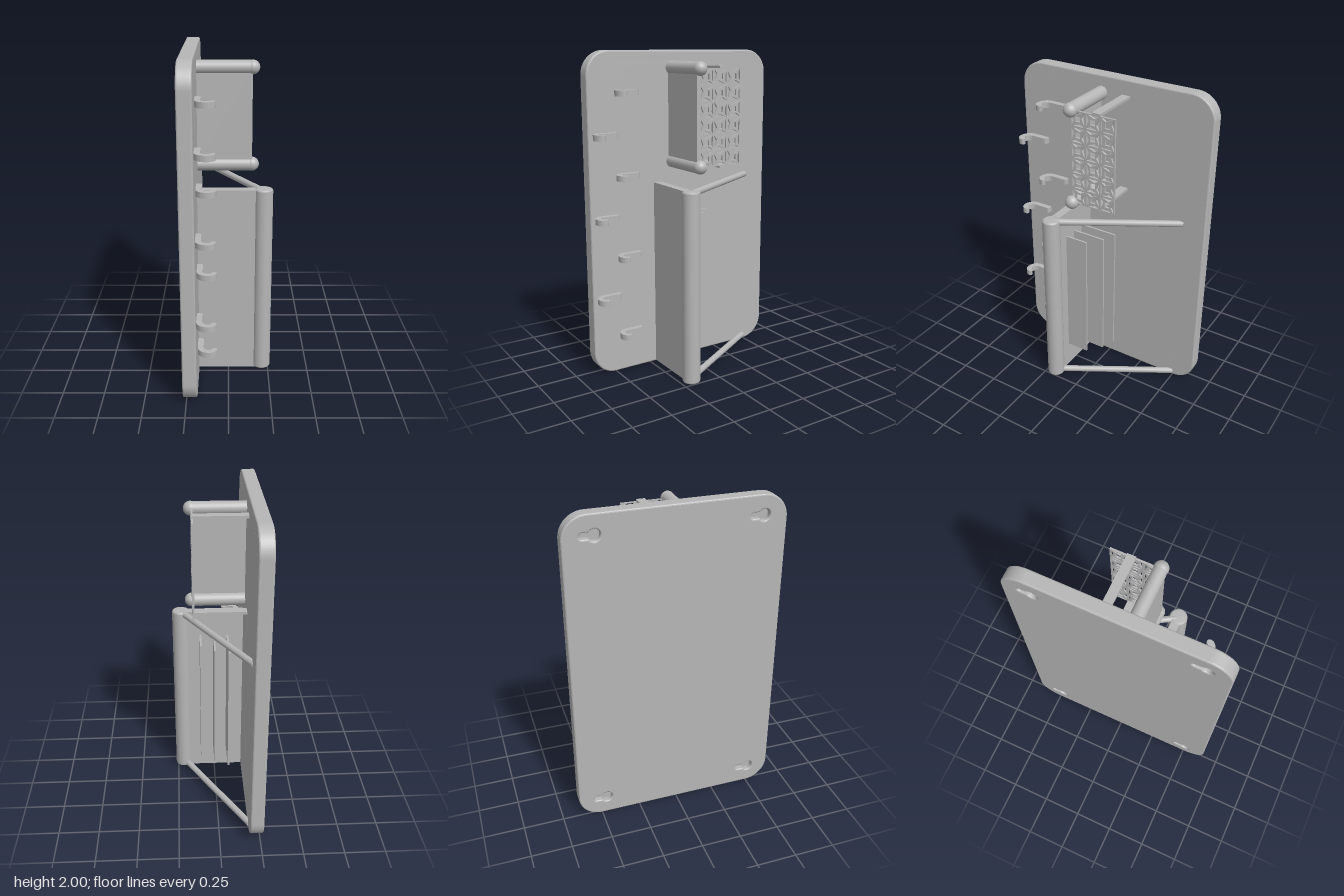
import * as THREE from 'three';

const grey = new THREE.MeshStandardMaterial({ color: 0xb6b6b6 });
grey.name = 'matte grey';

export function createModel() {
  const model = new THREE.Group();
  model.name = 'wallRack';

  const add = (name, geometry) => {
    const mesh = new THREE.Mesh(geometry, grey);
    mesh.name = name;
    model.add(mesh);
    return mesh;
  };
  // Box given by its limits on each axis
  const box = (name, x0, x1, y0, y1, z0, z1) =>
    add(name, new THREE.BoxGeometry(x1 - x0, y1 - y0, z1 - z0))
      .position.set((x0 + x1) / 2, (y0 + y1) / 2, (z0 + z1) / 2);
  // Round bar between two points
  const bar = (name, a, b, r) => {
    const from = new THREE.Vector3(...a), to = new THREE.Vector3(...b);
    const mesh = add(name, new THREE.CylinderGeometry(r, r, from.distanceTo(to), 24));
    mesh.position.copy(from).add(to).multiplyScalar(0.5);
    mesh.quaternion.setFromUnitVectors(new THREE.Vector3(0, 1, 0), to.sub(from).normalize());
  };
  // Extrude a shape drawn in (z, y) along x, ending at xMax
  const extrudeX = (shape, depth, xMax, bevel = 0) =>
    new THREE.ExtrudeGeometry(shape, {
      depth: depth - 2 * bevel, curveSegments: 16, bevelEnabled: bevel > 0,
      bevelSize: bevel, bevelThickness: bevel, bevelOffset: -bevel, bevelSegments: 3,
    }).rotateY(-Math.PI / 2).translate(xMax - bevel, 0, 0);

  // Back board with rounded corners and four blind keyholes
  const w = 0.645, h = 2, r = 0.145;
  const outline = new THREE.Shape();
  outline.moveTo(-w + r, 0).lineTo(w - r, 0).absarc(w - r, r, r, -Math.PI / 2, 0)
    .lineTo(w, h - r).absarc(w - r, h - r, r, 0, Math.PI / 2)
    .lineTo(-w + r, h).absarc(-w + r, h - r, r, Math.PI / 2, Math.PI)
    .lineTo(-w, r).absarc(-w + r, r, r, Math.PI, Math.PI * 1.5);
  for (const z of [-0.485, 0.485]) for (const y of [0.12, 1.88]) {
    const hole = new THREE.Path();
    hole.absarc(z + 0.02, y, 0.034, -2.6, 2.6, false);
    hole.absarc(z - 0.045, y, 0.0175, Math.PI / 2, Math.PI * 1.5, false);
    hole.closePath();
    outline.holes.push(hole);
    box('keyholeFloor', -0.235, -0.1849, y - 0.05, y + 0.05, z - 0.08, z + 0.07);
  }
  add('backBoard', extrudeX(outline, 0.085, -0.185, 0.01));

  // Large shelf with a round front rail
  box('largeShelf', -0.19, 0.2, 0.005, 1.195, 0.157, 0.21);
  const rail = [[0, 0.005], [0.042, 0.005], [0.051, 0.009], [0.055, 0.018],
    [0.055, 1.187], [0.051, 1.196], [0.042, 1.2], [0, 1.2]];
  add('shelfRail', new THREE.LatheGeometry(rail.map(p => new THREE.Vector2(...p)), 40))
    .position.set(0.21, 0, 0.185);

  // Diagonal struts and thin ribs below the large shelf
  for (const y of [0.025, 1.182])
    bar('strut', [-0.195, y, -0.495], [0.2, y, 0.175], 0.02);
  for (const [x, z] of [[-0.085, -0.09], [0.002, -0.06], [0.088, 0.012]])
    box('rib', x - 0.006, x + 0.006, 0.175, 1.03, z, 0.16);

  // Small shelf held between two ball-ended rods
  box('smallShelf', -0.19, 0.14, 1.32, 1.895, 0.075, 0.1);
  for (const y of [1.32, 1.895]) {
    bar('shelfRod', [-0.19, y, 0.077], [0.14, y, 0.077], 0.04);
    add('rodBall', new THREE.SphereGeometry(0.042, 28, 18)).position.set(0.14, y, 0.077);
  }
  // Flat arms that carry the screen
  for (const y of [1.305, 1.893])
    box('screenArm', -0.19, 0.14, y, y + 0.016, -0.115, -0.062);

  // Pierced screen made of mirrored pinwheel cells
  const pitch = 0.0967;
  const cell = (flip) => {
    const s = pitch / 2, c = 0.016;
    const path = (Type, pts) => new Type(pts.map(([a, b]) => new THREE.Vector2(a * flip, b)));
    const shape = path(THREE.Shape, [[-s, -s], [s, -s], [s, s], [-s, s]]);
    shape.holes.push(path(THREE.Path, [[-c, -c], [-c, c], [c, c], [c, -c]]));
    let tri = [[-0.042, 0.042], [0.03, 0.042], [-0.012, 0.024]];
    for (let i = 0; i < 4; i++) {
      shape.holes.push(path(THREE.Path, tri));
      tri = tri.map(([a, b]) => [b, -a]);
    }
    return extrudeX(shape, 0.012, 0.14);
  };
  const cells = [cell(1), cell(-1)];
  for (let i = 0; i < 3; i++) for (let j = 0; j < 6; j++)
    add('screenCell', cells[(i + j) % 2])
      .position.set(0, 1.317 + (j + 0.5) * pitch, 0.078 - (i + 0.5) * pitch);

  // Hooks: a J profile drawn in (x, z), staggered in two rows
  const j = new THREE.Shape();
  j.moveTo(-0.19, 0.32).lineTo(-0.168, 0.32);
  j.quadraticCurveTo(-0.15, 0.32, -0.15, 0.338);
  j.lineTo(-0.15, 0.425);
  j.bezierCurveTo(-0.15, 0.445, -0.135, 0.459, -0.118, 0.459);
  j.quadraticCurveTo(-0.105, 0.459, -0.097, 0.445);
  j.bezierCurveTo(-0.09, 0.43, -0.068, 0.434, -0.068, 0.453);
  j.bezierCurveTo(-0.068, 0.475, -0.092, 0.493, -0.117, 0.493);
  j.bezierCurveTo(-0.155, 0.493, -0.185, 0.465, -0.185, 0.43);
  j.lineTo(-0.19, 0.43);
  const hook = new THREE.ExtrudeGeometry(j, { depth: 0.035, bevelEnabled: false, curveSegments: 10 })
    .rotateX(Math.PI / 2).translate(0, 0.0175, 0);
  for (let i = 0; i < 7; i++)
    add('hook', hook).position.set(0, 0.255 + i * 0.25, i % 2 ? 0.145 : 0);

  return model;
}
